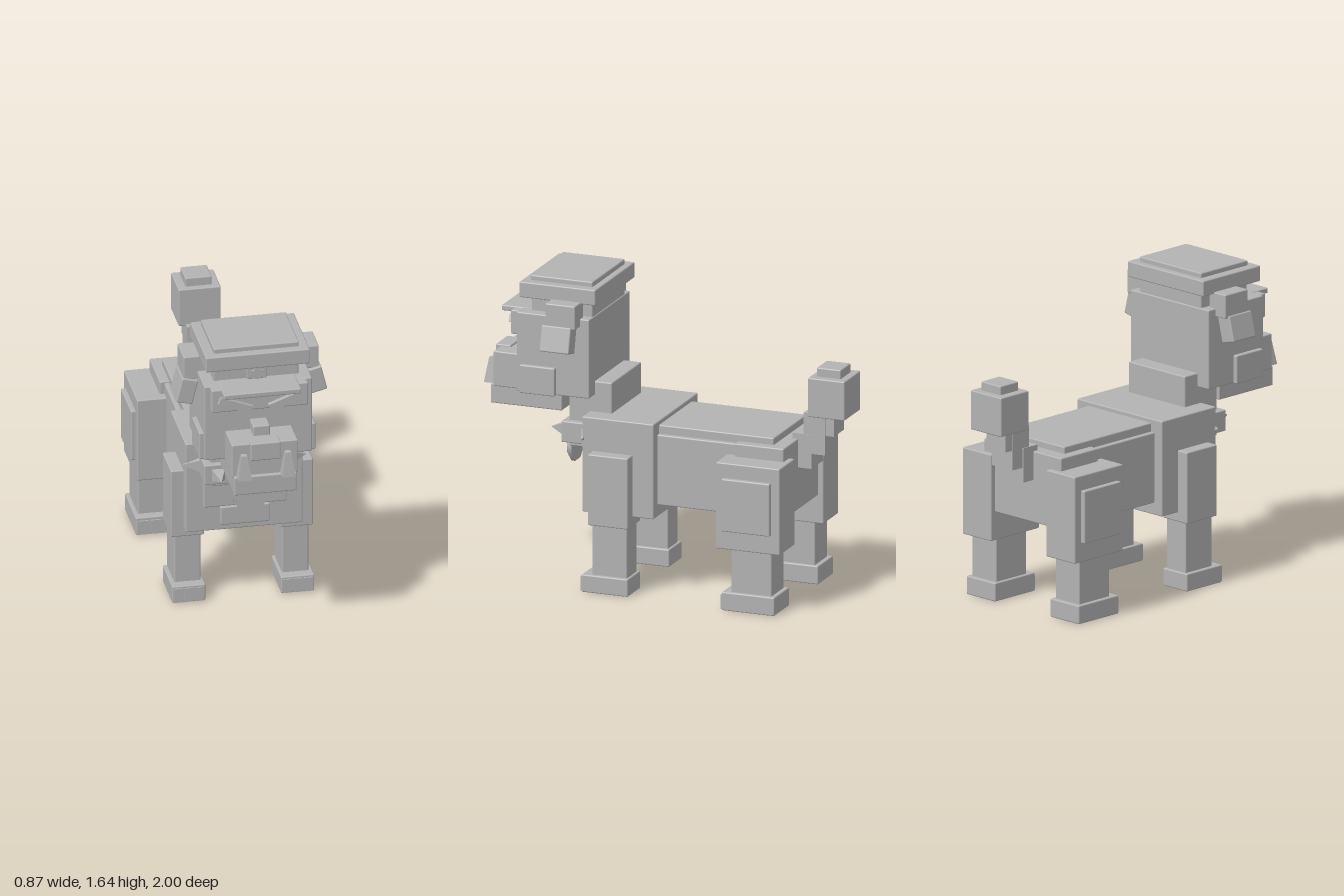
import * as THREE from 'three';
import { RoundedBoxGeometry } from 'three/addons/geometries/RoundedBoxGeometry.js';

export function createModel() {
  const model = new THREE.Group();
  model.name = 'blockyGuardDog';
  const stone = new THREE.MeshStandardMaterial({ color: 0xb3b3b3 });
  stone.name = 'stoneGrey';

  const add = (name, geometry, parent = model) => {
    const mesh = new THREE.Mesh(geometry, stone);
    mesh.name = name;
    parent.add(mesh);
    return mesh;
  };
  // Box from its limits on each axis, with a small bevel by default
  const box = (name, [x0, x1], [y0, y1], [z0, z1], bevel = 0.007, parent = model) => {
    const s = [x1 - x0, y1 - y0, z1 - z0];
    const geo = bevel ? new RoundedBoxGeometry(...s, 2, bevel) : new THREE.BoxGeometry(...s);
    const mesh = add(name, geo, parent);
    mesh.position.set((x0 + x1) / 2, (y0 + y1) / 2, (z0 + z1) / 2);
    return mesh;
  };
  const mid = (name, halfX, y, z, bevel) => box(name, [-halfX, halfX], y, z, bevel);
  // Four-sided pyramid or frustum, square to the axes
  const taper = (top, base, height) => {
    const geo = new THREE.CylinderGeometry(top * Math.SQRT2, base * Math.SQRT2, height, 4, 1).toNonIndexed();
    geo.rotateY(Math.PI / 4);
    geo.computeVertexNormals();
    return geo;
  };
  // Plus sign made of two thin bars
  const cross = (name, y, z, reach, width, depth) => {
    mid(name, reach, [y - width, y + width], [z, z + depth], 0);
    mid(name, width, [y - reach, y + reach], [z, z + depth], 0);
  };

  // Torso
  mid('chest', 0.31, [0.42, 0.935], [-0.01, 0.39]);
  mid('body', 0.255, [0.485, 0.865], [-0.7, 0.0]);
  mid('backPlate', 0.23, [0.84, 0.912], [-0.65, 0.0]);
  mid('rump', 0.28, [0.49, 0.875], [-0.725, -0.45]);
  mid('upperChestPlate', 0.22, [0.57, 0.74], [0.37, 0.42]);
  mid('lowerChestPlate', 0.13, [0.46, 0.565], [0.37, 0.42]);
  mid('neck', 0.205, [0.735, 1.1], [0.265, 0.505]);

  // Collar and medallion
  mid('collar', 0.24, [0.76, 0.875], [0.24, 0.535]);
  const disc = (name, r, depth, z) => {
    const geo = new THREE.CylinderGeometry(r, r, depth, 8);
    geo.rotateY(Math.PI / 8);
    geo.rotateX(Math.PI / 2);
    add(name, geo).position.set(0, 0.688, z);
  };
  disc('medallion', 0.095, 0.02, 0.548);
  disc('medallionFace', 0.08, 0.012, 0.562);
  cross('medallionCross', 0.688, 0.566, 0.056, 0.022, 0.011);

  // Head
  mid('head', 0.285, [1.025, 1.453], [0.36, 0.765]);
  mid('brow', 0.255, [1.32, 1.45], [0.74, 0.81]);
  mid('noseBridge', 0.045, [1.17, 1.245], [0.74, 0.855]);
  mid('muzzle', 0.175, [1.0, 1.19], [0.58, 0.94]);
  mid('nose', 0.08, [1.1, 1.2], [0.88, 0.965]);
  mid('jaw', 0.165, [0.905, 1.01], [0.56, 0.96]);

  // Cap
  mid('capBand', 0.225, [1.44, 1.54], [0.365, 0.705]);
  mid('capBrim', 0.275, [1.53, 1.615], [0.33, 0.755]);
  mid('capTop', 0.225, [1.6, 1.642], [0.365, 0.712]);
  mid('visor', 0.205, [1.425, 1.455], [0.7, 0.882]);
  mid('capBadge', 0.052, [1.455, 1.53], [0.69, 0.725], 0.004);
  cross('badgeCross', 1.492, 0.725, 0.035, 0.014, 0.008);

  // Tail
  mid('tailBase', 0.08, [0.72, 0.905], [-0.8, -0.695], 0);
  mid('tailMiddle', 0.075, [0.8, 1.02], [-0.875, -0.755], 0);
  mid('tailUpper', 0.07, [0.905, 1.02], [-0.922, -0.82], 0);
  mid('tailTuft', 0.112, [1.01, 1.222], [-0.998, -0.792]);
  mid('tailTip', 0.07, [1.21, 1.27], [-0.96, -0.825]);

  // Paired parts
  for (const s of [-1, 1]) {
    const side = s > 0 ? 'left' : 'right';
    const pair = (name, [a, b], y, z, bevel) =>
      box(side + name, s > 0 ? [a, b] : [-b, -a], y, z, bevel);

    // Face
    pair('Cheek', [0.2, 0.308], [1.022, 1.175], [0.545, 0.742]);
    pair('EyePlate', [0.045, 0.195], [1.19, 1.325], [0.763, 0.771], 0);
    const eyebrow = add(side + 'Eyebrow', new THREE.BoxGeometry(0.18, 0.042, 0.04));
    eyebrow.position.set(s * 0.133, 1.363, 0.815);
    eyebrow.rotation.z = s * 0.36;
    const tusk = add(side + 'Tusk', taper(0.015, 0.036, 0.132));
    tusk.position.set(s * 0.116, 1.074, 0.966);

    // Folded ear
    pair('EarBase', [0.24, 0.358], [1.41, 1.54], [0.41, 0.578]);
    const ear = add(side + 'EarFlap', new RoundedBoxGeometry(0.088, 0.138, 0.165, 2, 0.007));
    ear.position.set(s * 0.341, 1.347, 0.512);
    ear.rotation.z = s * 0.24;

    // Collar spikes
    const frontSpike = add(side + 'FrontSpike', taper(0.0005, 0.034, 0.085));
    frontSpike.position.set(s * 0.165, 0.816, 0.577);
    frontSpike.rotation.x = Math.PI / 2;
    const sideSpike = add(side + 'SideSpike', taper(0.0005, 0.034, 0.09));
    sideSpike.position.set(s * 0.283, 0.816, 0.387);
    sideSpike.rotation.z = -s * Math.PI / 2;

    // Legs
    pair('Shoulder', [0.2, 0.376], [0.37, 0.755], [0.108, 0.332]);
    pair('FrontLeg', [0.215, 0.355], [0.08, 0.38], [0.12, 0.315]);
    pair('FrontPaw', [0.2, 0.376], [0.005, 0.1], [0.108, 0.368]);
    pair('Haunch', [0.2, 0.41], [0.337, 0.805], [-0.755, -0.398]);
    pair('HaunchPlate', [0.38, 0.435], [0.44, 0.725], [-0.708, -0.437]);
    pair('RearLeg', [0.215, 0.39], [0.08, 0.35], [-0.702, -0.477]);
    pair('RearPaw', [0.2, 0.41], [0.005, 0.105], [-0.725, -0.43]);

    // Toes, three on each paw
    for (const [name, inner, width, z] of [['FrontToe', 0.205, 0.166, 0.36], ['RearToe', 0.205, 0.2, -0.438]]) {
      for (let i = 0; i < 3; i++) {
        const a = inner + (width / 3) * i;
        pair(name, [a + 0.004, a + width / 3 - 0.004], [0.01, 0.088], [z, z + 0.016], 0);
      }
    }
  }
  return model;
}
